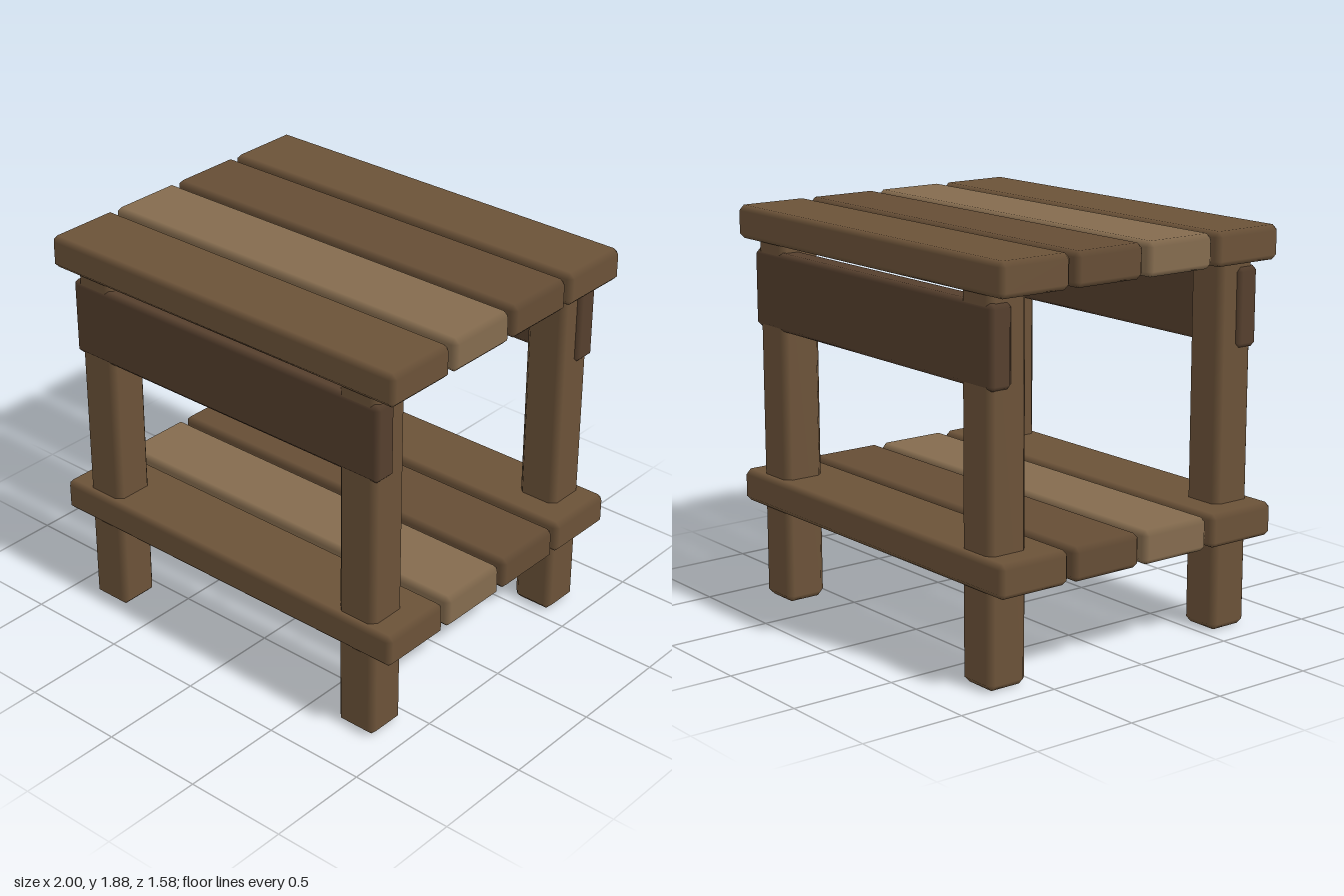
import * as THREE from 'three';
import { ConvexGeometry } from 'three/addons/geometries/ConvexGeometry.js';

const wood = (color) => new THREE.MeshStandardMaterial({ color });

// Box with one chamfer on every edge; shading blends smoothly across the chamfers
function chamferedBox(w, h, d, bevel) {
  const half = [w / 2, h / 2, d / 2];
  const points = [];
  for (let axis = 0; axis < 3; axis++) {
    for (const sx of [-1, 1]) for (const sy of [-1, 1]) for (const sz of [-1, 1]) {
      const p = [sx, sy, sz].map((s, i) => s * (half[i] - (i === axis ? 0 : bevel)));
      points.push(new THREE.Vector3(...p));
    }
  }
  const geometry = new ConvexGeometry(points);
  const pos = geometry.attributes.position;
  const normal = geometry.attributes.normal;
  for (let i = 0; i < pos.count; i++) {
    const n = [pos.getX(i), pos.getY(i), pos.getZ(i)].map((v, a) =>
      Math.abs(v) > half[a] - bevel / 2 ? Math.sign(v) : 0);
    normal.setXYZ(i, ...n);
  }
  return geometry;
}

export function createModel() {
  const model = new THREE.Group();
  model.name = 'sideTable';

  const brown = wood(0x6b5238);
  const light = wood(0x846b4e);
  const deep = wood(0x654d35);
  const dark = wood(0x553f2d);

  const add = (name, geometry, material, x, y, z) => {
    const mesh = new THREE.Mesh(geometry, material);
    mesh.name = name;
    mesh.position.set(x, y, z);
    model.add(mesh);
  };

  // Four planks for the top and four for the lower shelf, back to front
  const plank = chamferedBox(2, 0.157, 0.376, 0.025);
  const tones = [brown, deep, light, brown];
  for (const [name, y] of [['topPlank', 1.805], ['shelfPlank', 0.528]]) {
    tones.forEach((tone, i) => add(name + (i + 1), plank, tone, 0, y, -0.6 + i * 0.4));
  }

  // Legs pass through the outer shelf planks and end inside the top
  const leg = chamferedBox(0.21, 1.76, 0.21, 0.03);
  for (const [end, z] of [['front', 0.65], ['back', -0.65]]) {
    add(end + 'LeftLeg', leg, brown, 0.775, 0.88, z);
    add(end + 'RightLeg', leg, brown, -0.775, 0.88, z);
  }

  // Aprons under the top, let into the outer faces of the legs
  const apron = chamferedBox(1.8, 0.37, 0.12, 0.022);
  add('frontApron', apron, dark, 0, 1.505, 0.702);
  add('backApron', apron, dark, 0, 1.505, -0.702);

  return model;
}
